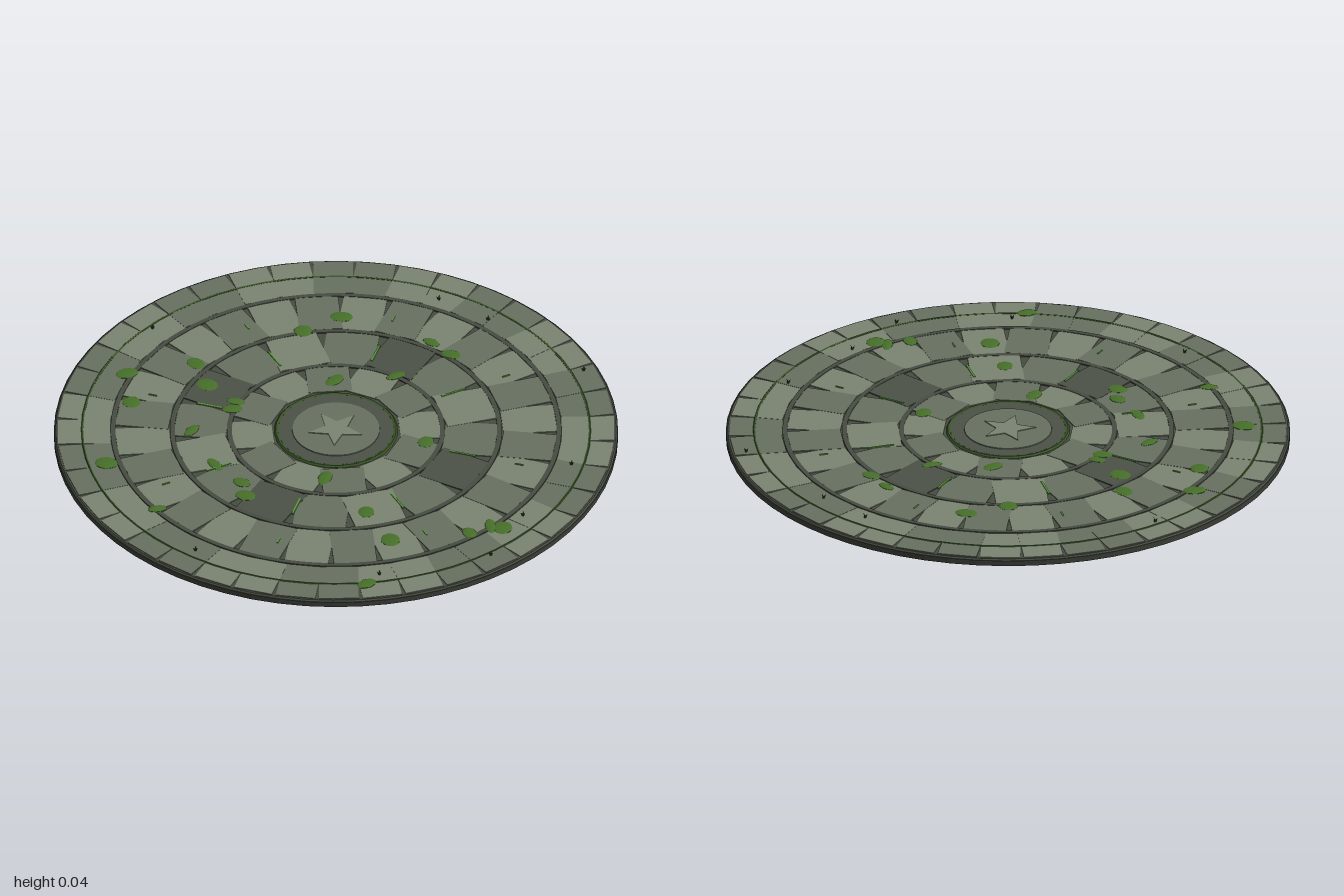
import * as THREE from 'three';

const mat = (color, extra = {}) => {
  const m = new THREE.MeshStandardMaterial({ flatShading: true, ...extra });
  m.color.set(color);
  return m;
};
const light = mat(0x7b8372), mid = mat(0x667060), dark = mat(0x4b5247);
const mortar = mat(0x464c41), base = mat(0x3b3e36);
const moss = mat(0x47702a), mossLine = mat(0x3a5426);
const grass = mat(0x5a9a38, { side: THREE.DoubleSide });
const sprout = mat(0x2c4a22, { side: THREE.DoubleSide });

function add(parent, name, geometry, material, x = 0, y = 0, z = 0) {
  const mesh = new THREE.Mesh(geometry, material);
  mesh.name = name;
  mesh.position.set(x, y, z);
  parent.add(mesh);
  return mesh;
}

// Flat band between two radii, rising from y = bottom
function band(inner, outer, bottom, height) {
  const shape = new THREE.Shape().absarc(0, 0, outer, 0, Math.PI * 2);
  shape.holes.push(new THREE.Path().absarc(0, 0, inner, 0, Math.PI * 2));
  return new THREE.ExtrudeGeometry(shape, { depth: height, bevelEnabled: false, curveSegments: 64 })
    .rotateX(-Math.PI / 2).translate(0, bottom, 0);
}

// Circle of straight-sided blocks; the wedge gaps show the mortar
function stoneRing(parent, name, count, inner, outer, top, colors) {
  const ring = new THREE.Group();
  ring.name = name;
  const r = (inner + outer) / 2;
  const width = (Math.PI * 2 * r) / count;
  for (let i = 0; i < count; i++) {
    const a = ((i + 0.5) / count) * Math.PI * 2;
    const h = 0.012 + (i % 2) * 0.0008;
    const stone = add(ring, 'pavingStone', new THREE.BoxGeometry(outer - inner, h, width),
      colors[i % colors.length], Math.cos(a) * r, top - 0.012 + h / 2, Math.sin(a) * r);
    stone.rotation.y = -a;
  }
  parent.add(ring);
}

function createModel() {
  const model = new THREE.Group();
  model.name = 'stonePlaza';

  // Foundation and mortar bed
  add(model, 'foundation', new THREE.CylinderGeometry(1, 1, 0.02, 64), base, 0, 0.01, 0);
  add(model, 'mortarBed', new THREE.CylinderGeometry(0.993, 0.998, 0.005, 64), mortar, 0, 0.0225, 0);

  // Paving rings
  stoneRing(model, 'innerRing', 12, 0.225, 0.37, 0.028, [light, mid]);
  stoneRing(model, 'secondRing', 16, 0.385, 0.57, 0.028, [mid, light, mid, dark]);
  stoneRing(model, 'thirdRing', 28, 0.59, 0.78, 0.028, [light, mid]);
  stoneRing(model, 'outerRing', 40, 0.8, 0.985, 0.027, [light, mid, mid, light]);

  // Joints between the rings
  for (const r of [0.378, 0.58, 0.79]) add(model, 'ringJoint', band(r - 0.009, r + 0.009, 0.02, 0.0095), mortar);

  // Moss lines
  for (const [r, t] of [[0.9, 0.005], [0.212, 0.008]]) {
    const line = add(model, 'mossLine', new THREE.TorusGeometry(r, t, 5, r > 0.5 ? 64 : 24), mossLine, 0, 0.026, 0);
    line.rotation.x = Math.PI / 2;
    line.scale.z = 0.8;
  }

  // Centre medallion with a five-pointed star
  add(model, 'medallionRim', new THREE.CylinderGeometry(0.205, 0.21, 0.01, 32), dark, 0, 0.025, 0);
  add(model, 'medallion', new THREE.CylinderGeometry(0.155, 0.158, 0.012, 32), mid, 0, 0.027, 0);
  const star = new THREE.Shape();
  for (let i = 0; i < 10; i++) {
    const r = i % 2 ? 0.042 : 0.1, a = Math.PI / 2 + (i * Math.PI) / 5;
    star[i ? 'lineTo' : 'moveTo'](Math.cos(a) * r, Math.sin(a) * r);
  }
  star.closePath();
  add(model, 'star', new THREE.ExtrudeGeometry(star, { depth: 0.005, bevelEnabled: false }), light, 0, 0.031, 0)
    .rotation.x = -Math.PI / 2;

  // Moss clumps [x, z]
  const clumps = [[-0.07, -0.61], [0.03, -0.6], [-0.41, -0.52], [-0.46, -0.37], [-0.04, -0.38],
    [-0.19, -0.22], [0.29, -0.15], [0.82, 0.06], [0.78, 0.08], [0.75, 0.16], [-0.63, 0.02], [-0.52, 0.09],
    [-0.38, 0.1], [-0.36, 0.14], [-0.78, 0.22], [-0.66, 0.34], [-0.39, 0.33], [0.15, 0.24],
    [0.39, 0.3], [0.56, 0.37], [-0.2, 0.43], [-0.06, 0.45], [0, 0.5], [-0.5, 0.67], [-0.19, 0.76], [0.66, 0.62]];
  clumps.forEach(([x, z], i) => {
    const clump = add(model, 'mossClump', new THREE.IcosahedronGeometry(1, 1), moss, x, 0.028, z);
    clump.scale.set(0.034 + (i % 3) * 0.004, 0.005, 0.02 + (i % 4) * 0.005);
    clump.rotation.y = i * 0.3;
  });

  // Grass strips along the joints
  for (const [r, length, width] of [[0.47, 0.095, 0.007], [0.68, 0.03, 0.005]]) {
    for (let i = 0; i < 8; i++) {
      const a = ((i + 0.5) / 8) * Math.PI * 2;
      add(model, 'grassStrip', new THREE.BoxGeometry(length, 0.004, width), grass,
        Math.cos(a) * r, 0.0295, Math.sin(a) * r).rotation.y = -a;
    }
  }

  // Small sprouts: three leaning blades each
  const sprouts = [[-0.21, -0.82], [0, -0.84], [0.45, -0.83], [-0.88, -0.04], [0.83, -0.04],
    [0.89, 0.21], [0.66, 0.55], [0.07, 0.86], [0.77, -0.38]];
  for (const [x, z] of sprouts) {
    const tuft = new THREE.Group();
    tuft.name = 'sprout';
    tuft.position.set(x, 0.027, z);
    for (let i = 0; i < 3; i++) {
      const blade = new THREE.ConeGeometry(0.004, 0.018, 4).translate(0, 0.009, 0).rotateZ(-0.5);
      add(tuft, 'blade', blade, sprout).rotation.y = (i * Math.PI * 2) / 3;
    }
    model.add(tuft);
  }
  return model;
}

export { createModel };
